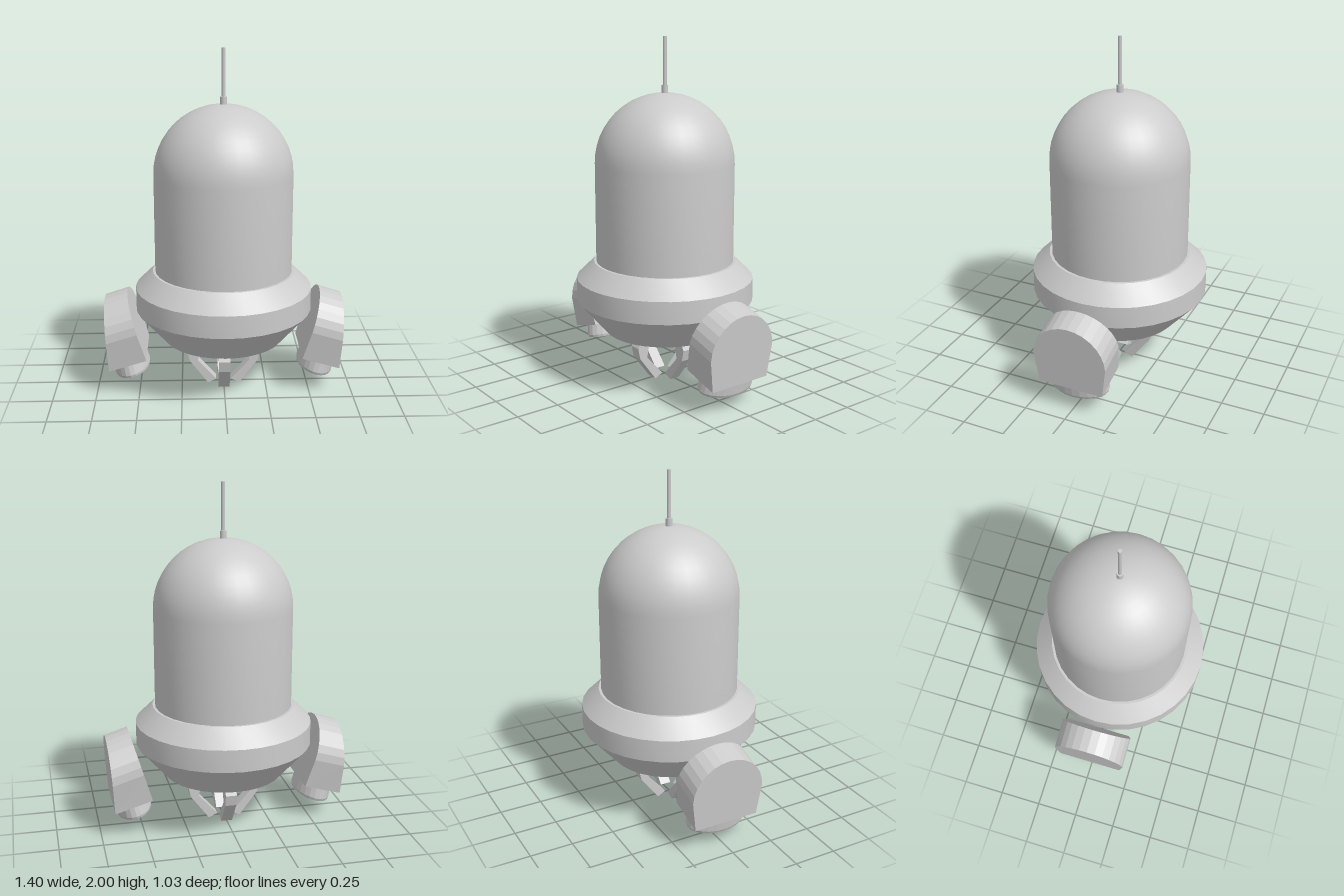
import * as THREE from 'three';
import { toCreasedNormals } from 'three/addons/utils/BufferGeometryUtils.js';

const smooth = new THREE.MeshStandardMaterial({ color: 0xcccccc });
const flat = new THREE.MeshStandardMaterial({ color: 0xcccccc, flatShading: true });

function mesh(name, geometry, material = smooth) {
  const m = new THREE.Mesh(geometry, material);
  m.name = name;
  return m;
}

const toPoints = (list) => list.map(([x, y]) => new THREE.Vector2(x, y));

// Turned part, profile listed from the bottom up
function turned(name, profile, segments) {
  const g = new THREE.LatheGeometry(toPoints(profile), segments);
  return mesh(name, toCreasedNormals(g, 0.45));
}

// Wedge-shaped pod: an arch extruded sideways, then skewed between four corners
function podGeometry() {
  const outline = [[-0.195, 0], [0.195, 0]];
  const steps = 14, spring = 0.46;
  for (let i = 0; i <= steps; i++) {
    const a = (i / steps) * Math.PI;
    outline.push([0.22 * Math.cos(a), spring + (1 - spring) * Math.sin(a)]);
  }
  const g = new THREE.ExtrudeGeometry(new THREE.Shape(toPoints(outline)), {
    depth: 1, bevelEnabled: false,
  });
  g.rotateY(Math.PI / 2);
  const { lerp } = THREE.MathUtils;
  const p = g.attributes.position;
  for (let i = 0; i < p.count; i++) {
    const s = p.getX(i), t = p.getY(i);
    p.setX(i, lerp(lerp(0.455, 0.566, t), lerp(0.672, 0.698, t), s));
    p.setY(i, lerp(lerp(0.222, 0.598, t), lerp(0.159, 0.556, t), s));
  }
  g.computeVertexNormals();
  return g;
}

// Oval nozzle with a thin rim around a recessed underside
function nozzle() {
  const profile = [[0, 0.015], [0.9, 0.015], [0.93, 0], [0.97, 0], [1, 0.015], [0.94, 0.11], [0, 0.11]];
  const m = mesh('nozzle', new THREE.LatheGeometry(toPoints(profile), 24), flat);
  m.scale.set(0.108, 1, 0.18);
  m.rotation.z = -0.22;
  m.position.set(0.545, 0.109, 0);
  return m;
}

// Hooked claw lying in the x-y plane, pointing inwards at the tip
function clawGeometry() {
  const outline = [
    [0.06, 0.28], [0.14, 0.23], [0.155, 0.15], [0.045, 0.027], [0.095, 0.003],
    [0.205, 0.15], [0.22, 0.217], [0.178, 0.297], [0.1, 0.345],
  ];
  const g = new THREE.ExtrudeGeometry(new THREE.Shape(toPoints(outline)), {
    depth: 0.066, bevelEnabled: false,
  });
  return g.translate(0, 0, -0.033);
}

export function createModel() {
  const model = new THREE.Group();
  model.name = 'robot';

  // Domed body
  const body = [[0.4, 0.7], [0.4, 1.29]];
  for (let i = 1; i <= 12; i++) {
    const a = (i / 12) * Math.PI / 2;
    body.push([i === 12 ? 0 : 0.4 * Math.cos(a), 1.29 + 0.398 * Math.sin(a)]);
  }
  model.add(turned('body', body, 32));

  // Flared skirt with a recess underneath
  model.add(turned('skirt', [
    [0, 0.35], [0.28, 0.35], [0.33, 0.3], [0.35, 0.3],
    [0.515, 0.49], [0.515, 0.62], [0.415, 0.718], [0.39, 0.718],
  ], 32));

  // Antenna
  const socket = mesh('antennaSocket', new THREE.CylinderGeometry(0.019, 0.019, 0.06, 16));
  socket.position.y = 1.7;
  const rod = mesh('antennaRod', new THREE.CylinderGeometry(0.011, 0.011, 0.3, 12));
  rod.position.y = 1.85;
  model.add(socket, rod);

  // Left and right pods
  const podShape = podGeometry();
  for (const [name, turn] of [['leftPod', 0], ['rightPod', Math.PI]]) {
    const pod = new THREE.Group();
    pod.name = name;
    pod.rotation.y = turn;
    pod.add(mesh('podShell', podShape, flat), nozzle());
    model.add(pod);
  }

  // Four claws around the centre
  const clawShape = clawGeometry();
  ['leftClaw', 'backClaw', 'rightClaw', 'frontClaw'].forEach((name, i) => {
    const claw = mesh(name, clawShape, flat);
    claw.rotation.y = (i * Math.PI) / 2;
    model.add(claw);
  });

  return model;
}
